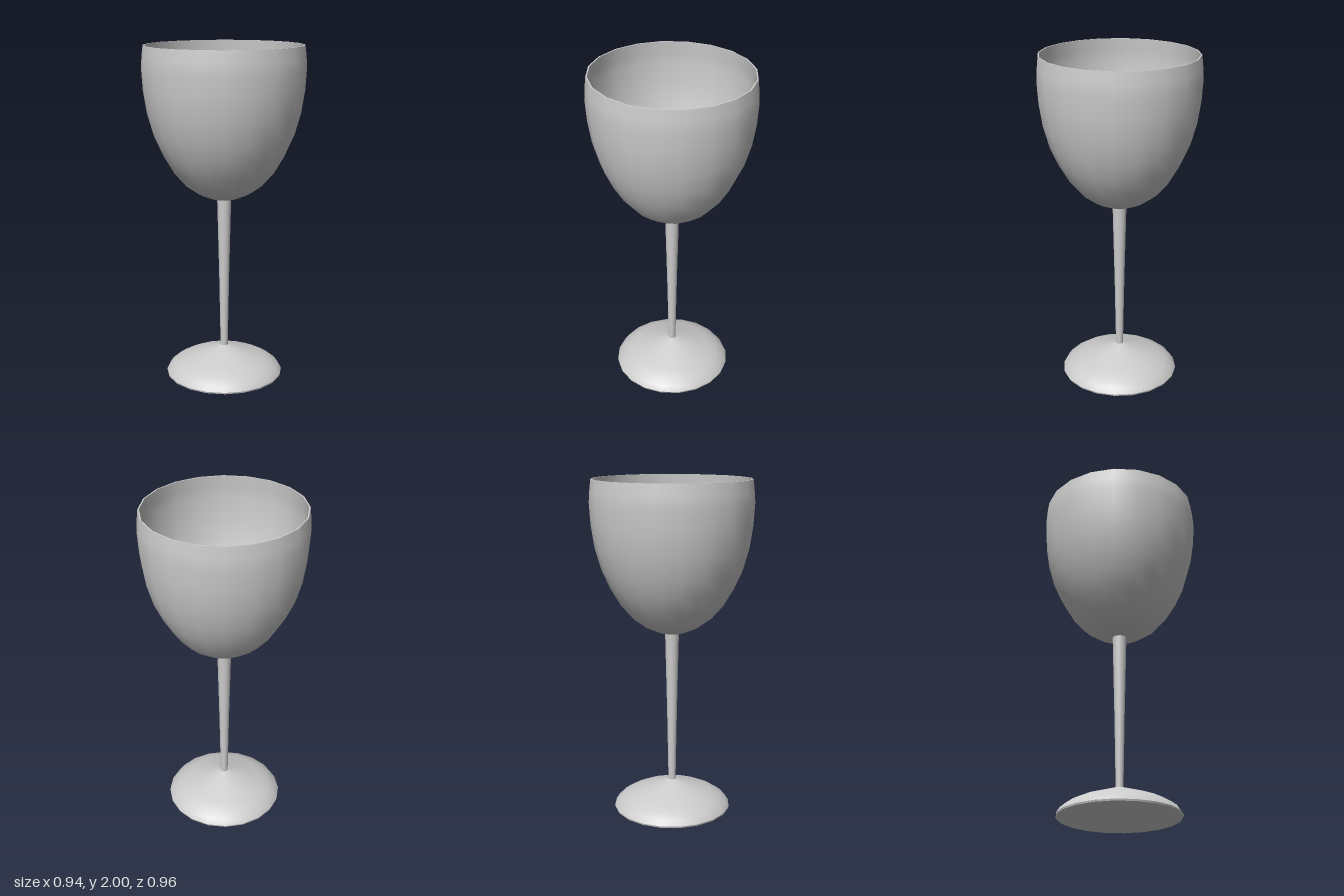
import * as THREE from 'three';

const SIDES = 20;
const material = new THREE.MeshStandardMaterial({ color: 0xcccccc });

// Group of turned surfaces; each profile is smooth, with a crease between profiles.
function turnedPart(name, profiles) {
  const group = new THREE.Group();
  group.name = name;
  for (const [surface, points] of Object.entries(profiles)) {
    const profile = points.map(([r, y]) => new THREE.Vector2(r, y));
    const mesh = new THREE.Mesh(new THREE.LatheGeometry(profile, SIDES), material);
    mesh.name = surface;
    group.add(mesh);
  }
  return group;
}

export function createModel() {
  const model = new THREE.Group();
  model.name = 'wineGlass';

  // Thin-walled bowl, slightly narrower in x than in z
  const outer = [
    [0.04, 1.1], [0.085, 1.105], [0.16, 1.137], [0.235, 1.19], [0.305, 1.27], [0.365, 1.37],
    [0.415, 1.48], [0.452, 1.61], [0.472, 1.74], [0.48, 1.87], [0.476, 1.93], [0.468, 2],
  ];
  const wall = 0.011;
  const inner = outer.slice(1, -1).map(([r, y], i) => [r - wall, y + wall * (1 - i / 9)]);
  inner.unshift([0.043, 1.112]);
  inner.push([0.46, 2]);
  inner.reverse();
  const bowl = turnedPart('bowl', {
    bowlOutside: outer,
    bowlRim: [outer[outer.length - 1], inner[0]],
    bowlInside: inner,
  });
  bowl.scale.x = 0.98;
  model.add(bowl);

  // Tapered stem with a narrow hollow opening into the bowl
  model.add(turnedPart('stem', {
    stemOutside: [[0.022, 0.16], [0.03, 0.6], [0.042, 1.112]],
    stemHollow: [[0.043, 1.112], [0.003, 0.2], [0, 0.2]],
  }));

  // Flared foot, hollowed to a cone underneath
  model.add(turnedPart('foot', {
    footTop: [[0.355, 0.01], [0.335, 0.04], [0.295, 0.068], [0.24, 0.095], [0.02, 0.172], [0, 0.175]],
    footEdge: [[0.352, 0], [0.355, 0.01]],
    footUnderside: [[0, 0.15], [0.352, 0]],
  }));

  return model;
}
